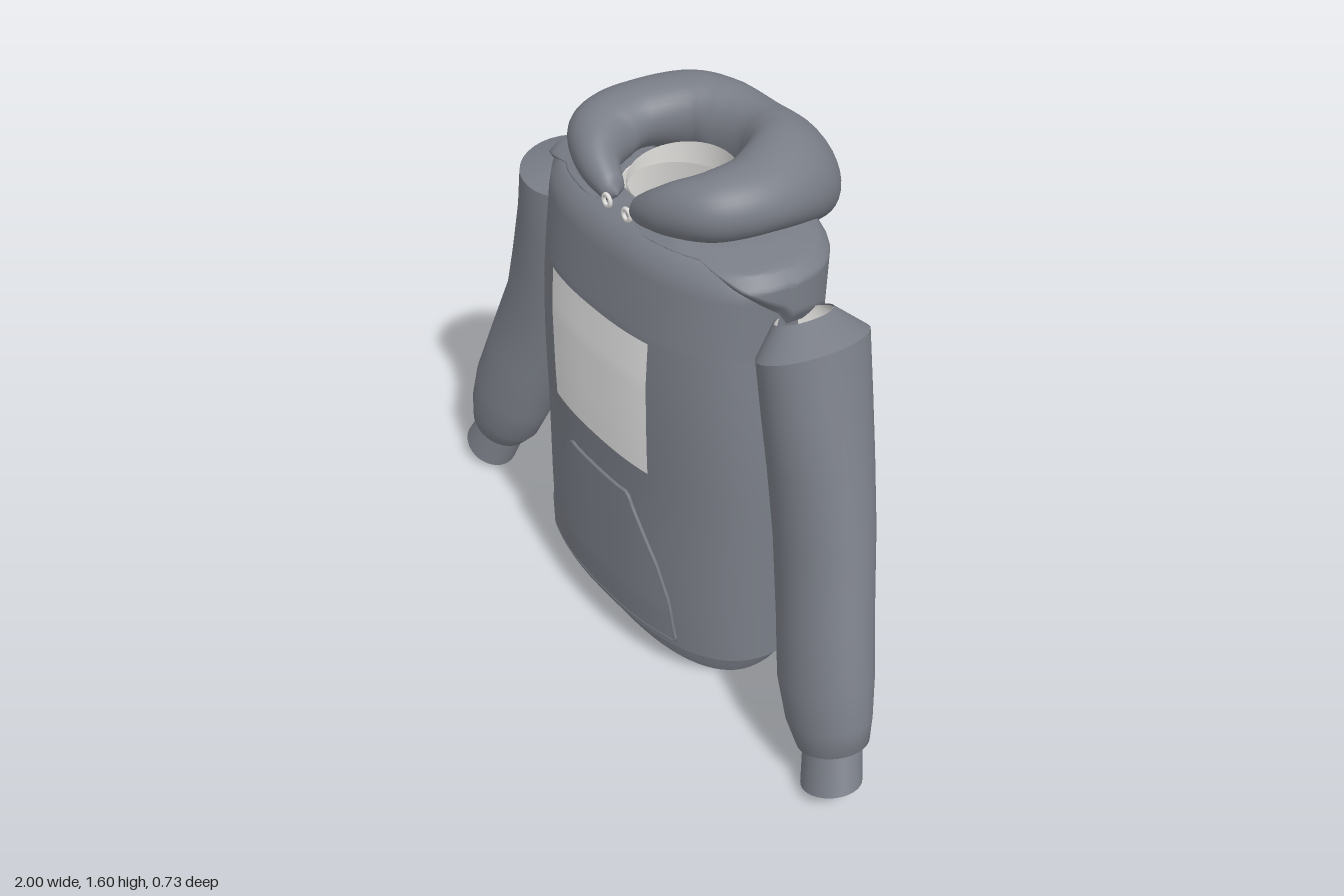
import * as THREE from 'three';

const material = (name, color) =>
  Object.assign(new THREE.MeshStandardMaterial({ color, side: THREE.DoubleSide }), { name });
const fabric = material('slate fabric', 0x797d86);
const lining = material('pale lining', 0xdfdedb);
const print = material('light print panel', 0xe4e4e4);

const V = (x, y, z) => new THREE.Vector3(x, y, z);
const spread = (n, a, b) => Array.from({ length: n + 1 }, (_, i) => a + (b - a) * i / n);
const turn = n => spread(n - 1, 0, Math.PI * 2 * (n - 1) / n);

// Linear lookup in a table of rows whose first entry is the key
function sample(table, key) {
  let i = 0;
  while (i < table.length - 2 && key > table[i + 1][0]) i++;
  const a = table[i], b = table[i + 1];
  const t = THREE.MathUtils.clamp((key - a[0]) / (b[0] - a[0]), 0, 1);
  return a.map((v, k) => v + (b[k] - v) * t);
}

// Skin over rows of points
function loft(rows, closed = true, flip = false) {
  const n = rows[0].length, index = [];
  for (let i = 0; i < rows.length - 1; i++) {
    for (let j = 0; j < (closed ? n : n - 1); j++) {
      const k = (j + 1) % n;
      const a = i * n + j, b = i * n + k, c = a + n, d = b + n;
      index.push(...(flip ? [a, b, c, b, d, c] : [a, c, b, b, c, d]));
    }
  }
  const geometry = new THREE.BufferGeometry().setFromPoints(rows.flat());
  geometry.setIndex(index);
  geometry.computeVertexNormals();
  return geometry;
}

function addMesh(parent, name, geometry, mat) {
  const mesh = new THREE.Mesh(geometry, mat);
  mesh.name = name;
  parent.add(mesh);
}

// Cloth outside with a lining set just inside it
function addShell(parent, name, rows, flip = false) {
  const outer = loft(rows, true, flip), inner = loft(rows, true, !flip);
  const p = inner.attributes.position, n = inner.attributes.normal;
  for (let i = 0; i < p.count; i++) {
    p.setXYZ(i, p.getX(i) + 0.004 * n.getX(i), p.getY(i) + 0.004 * n.getY(i), p.getZ(i) + 0.004 * n.getZ(i));
  }
  addMesh(parent, name, outer, fabric);
  addMesh(parent, name + 'Lining', inner, lining);
}

// Torso profile: height, half width, front z, back z
const TORSO = [
  [0.12, 0.5, 0.355, -0.19], [0.25, 0.5, 0.36, -0.19], [0.6, 0.5, 0.352, -0.185],
  [0.8, 0.495, 0.355, -0.18], [1.0, 0.48, 0.355, -0.175], [1.15, 0.465, 0.345, -0.175],
  [1.3, 0.465, 0.322, -0.18], [1.345, 0.465, 0.31, -0.18], [1.375, 0.43, 0.28, -0.16],
  [1.395, 0.33, 0.24, -0.13], [1.405, 0.17, 0.2, -0.09],
];
const HEM = [[0, 0.415, 0.285, -0.118], [0.03, 0.43, 0.29, -0.125], [0.13, 0.472, 0.3, -0.158]];
const POWER = 2.4;

// Point on a rounded-oval section, optionally pushed outwards
function sectionPoint(table, y, angle, offset = 0) {
  const [, rx, front, back] = sample(table, y);
  const bend = v => Math.sign(v) * Math.abs(v) ** (2 / POWER);
  return V((rx + offset) * bend(Math.cos(angle)), y,
    (front + back) / 2 + ((front - back) / 2 + offset) * bend(Math.sin(angle)));
}
const sectionRing = (table, y, offset) => turn(64).map(a => sectionPoint(table, y, a, offset));

// Move a point that falls inside the torso out to just above its cloth
function keepOutside(p) {
  if (p.y > 1.405) return p;
  const [, rx, front, back] = sample(TORSO, p.y);
  const mid = (front + back) / 2, rz = (front - back) / 2;
  const reach = (Math.abs(p.x / rx) ** POWER + Math.abs((p.z - mid) / rz) ** POWER) ** (1 / POWER);
  if (reach < 1.02) {
    p.x *= 1.02 / reach;
    p.z = mid + (p.z - mid) * 1.02 / reach;
  }
  return p;
}

// Point lying on the torso front (side 1) or back (side -1)
function torsoPoint(x, y, side, offset) {
  const [, rx, front, back] = sample(TORSO, y);
  const z = (1 - Math.abs(x / rx) ** POWER) ** (1 / POWER) * (front - back) / 2;
  return V(x, y, (front + back) / 2 + side * (z + offset));
}
const torsoPanel = (y0, y1, width, side, offset) => loft(
  spread(20, y0, y1).map(y => spread(24, side, -side).map(s => torsoPoint(s * width(y), y, side, offset))), false);

// Sleeve rings, bottom to top: x, y, z, radius across, radius in depth
const CUFF = [[0.91, 0.042, 0.22, 0.095, 0.078], [0.858, 0.17, 0.18, 0.085, 0.078]];
const SLEEVE = [
  [0.868, 0.16, 0.185, 0.088, 0.08], [0.872, 0.152, 0.19, 0.112, 0.093],
  [0.843, 0.22, 0.185, 0.142, 0.103], [0.803, 0.33, 0.168, 0.155, 0.116],
  [0.748, 0.5, 0.135, 0.153, 0.118], [0.678, 0.7, 0.092, 0.157, 0.123],
  [0.63, 0.9, 0.075, 0.146, 0.137], [0.593, 1.05, 0.065, 0.132, 0.15],
  [0.562, 1.21, 0.06, 0.117, 0.16],
];
const SHOULDER = [SLEEVE.at(-1), [0.511, 1.265, 0.052, 0.062, 0.085]];
const sleeveRings = (keys, s) => keys.map(([x, y, z, r, d]) => turn(32).map(a =>
  V(s * (x + 0.93 * r * Math.cos(a)), y + 0.37 * r * Math.cos(a), z + d * Math.sin(a))));

// Hood roll from front to back: x, y, z, radius outwards, radius in height, inward lean
const HOOD = [
  [0.042, 1.415, 0.235, 0.006, 0.006, 0], [0.062, 1.422, 0.235, 0.034, 0.036, 0],
  [0.16, 1.458, 0.215, 0.062, 0.07, 0], [0.245, 1.478, 0.14, 0.1, 0.088, 0],
  [0.27, 1.485, 0.03, 0.108, 0.092, 0.01], [0.215, 1.468, -0.13, 0.12, 0.13, 0.03],
  [0.115, 1.415, -0.205, 0.128, 0.175, 0.04], [0, 1.388, -0.226, 0.13, 0.188, 0.045],
];

function hoodRings() {
  const keys = [...HOOD, ...HOOD.slice(0, -1).reverse().map(([x, ...rest]) => [-x, ...rest])];
  const path = new THREE.CatmullRomCurve3(keys.map(k => V(k[0], k[1], k[2])));
  const size = new THREE.CatmullRomCurve3(keys.map(k => V(k[3], k[4], k[5])));
  return spread(84, 0, 1).map(t => {
    const c = path.getPoint(t), r = size.getPoint(t), dir = path.getTangent(t);
    const out = V(-dir.z, 0, dir.x).normalize();
    return turn(36).map(a => {
      const p = c.clone().addScaledVector(out, r.x * Math.cos(a) - r.z * Math.sin(a));
      p.y += r.y * Math.sin(a);
      return keepOutside(p);
    });
  });
}

// Hood cape over the shoulders, ending in a point at the back and thinning at its edges
function capeRows() {
  const gap = 0.22;
  const angles = spread(90, Math.PI / 2 + gap, Math.PI * 2.5 - gap);
  return spread(24, 0, 1).map(v => angles.map((a, i) => {
    const ref = sectionPoint(TORSO, 1.2, a);
    const edge = ref.z < 0.085
      ? 0.7 + 1.25 * (Math.hypot(ref.x, 0.05) - 0.05)
      : Math.min(1.38, 1.25 + 0.7 * (ref.z - 0.085));
    const y = 1.405 - (1.405 - edge) * (1 - v) ** 1.6;
    const swell = Math.min(1, v * 8, Math.min(i, 90 - i) / 6);
    const p = sectionPoint(TORSO, y, a, 0.004 + 0.022 * swell);
    p.y += 0.014 * v * swell;
    return p;
  }));
}

export function createModel() {
  const model = new THREE.Group();
  model.name = 'hoodie';

  addShell(model, 'torso', [...spread(10, 0.12, 1.13), ...TORSO.slice(5).map(r => r[0])]
    .map(y => sectionRing(TORSO, y)));
  // Turned-in lower edge of the torso
  addMesh(model, 'torsoUnderside', loft([sectionRing(TORSO, 0.12, -0.02), sectionRing(TORSO, 0.12)]), fabric);
  addShell(model, 'waistband', HEM.map(r => sectionRing(HEM, r[0])));

  addMesh(model, 'hoodRoll', loft(hoodRings()), fabric);
  addMesh(model, 'hoodCape', loft(capeRows(), false), fabric);
  // Lining inside the neck, rising towards the back
  addMesh(model, 'neckLining', loft([0, 0.5, 1].map(t => turn(48).map(a =>
    V(0.161 * Math.cos(a), 1.385 + t * (0.02 + 0.026 * (1 - Math.sin(a))), 0.057 + 0.142 * Math.sin(a)))),
  true, true), lining);

  for (const s of [1, -1]) {
    const arm = new THREE.Group();
    arm.name = s > 0 ? 'leftSleeve' : 'rightSleeve';
    addShell(arm, 'sleeve', sleeveRings(SLEEVE, s), s < 0);
    addShell(arm, 'sleeveHead', sleeveRings(SHOULDER, s), s < 0);
    addShell(arm, 'cuff', sleeveRings(CUFF, s), s < 0);
    model.add(arm);

    // Drawstring eyelet
    const eyelet = new THREE.TorusGeometry(0.016, 0.006, 8, 20);
    eyelet.translate(s * 0.046, 1.402, 0.264);
    addMesh(model, 'eyelet', eyelet, lining);
  }

  // Kangaroo pocket with a raised border
  const outline = [[0.15, 0.32], [0.28, 0.305], [0.4, 0.26], [0.5, 0.2], [0.59, 0.142]];
  const pocketWidth = y => sample(outline, y)[1];
  addMesh(model, 'pocket', torsoPanel(0.15, 0.59, pocketWidth, 1, 0.009), fabric);
  const border = [
    ...spread(12, 0.15, 0.59).map(y => torsoPoint(pocketWidth(y), y, 1, 0.005)),
    ...spread(6, 0.11, -0.11).map(x => torsoPoint(x, 0.59, 1, 0.005)),
    ...spread(12, 0.59, 0.15).map(y => torsoPoint(-pocketWidth(y), y, 1, 0.005)),
    ...spread(8, -0.29, 0.29).map(x => torsoPoint(x, 0.15, 1, 0.005)),
  ];
  addMesh(model, 'pocketBorder', new THREE.TubeGeometry(
    new THREE.CatmullRomCurve3(border, true), 140, 0.006, 6, true), fabric);

  // Plain print panels
  addMesh(model, 'chestPanel', torsoPanel(0.71, 1.13, () => 0.23, 1, 0.005), print);
  addMesh(model, 'backPanel', torsoPanel(0.245, 0.655, () => 0.21, -1, 0.005), print);
  return model;
}
